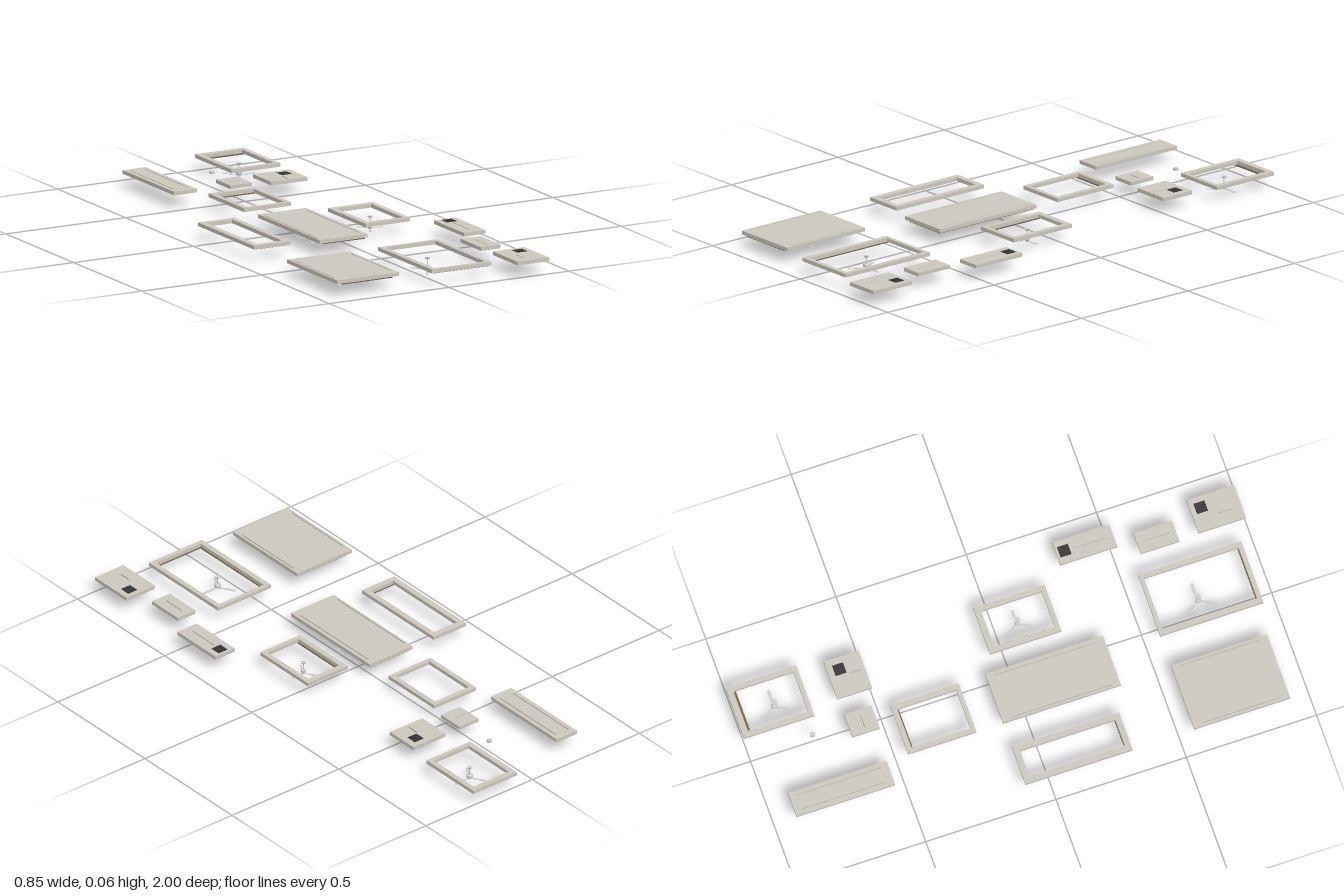
import * as THREE from 'three';

const TOP = 0.063, BOTTOM = 0.049;
const mat = (color) => new THREE.MeshStandardMaterial({ color });
const plaster = mat(0xccc7bd), wood = mat(0x75634c), metal = mat(0xcccccc), dark = mat(0x333333);

function add(parent, name, geometry, material, x = 0, y = 0, z = 0) {
  const mesh = new THREE.Mesh(geometry, material);
  mesh.name = name;
  mesh.position.set(x, y, z);
  parent.add(mesh);
  return mesh;
}

// Box given by its bounds in x, y and z
function block(parent, name, material, x0, x1, y0, y1, z0, z1) {
  return add(parent, name, new THREE.BoxGeometry(x1 - x0, y1 - y0, z1 - z0), material,
    (x0 + x1) / 2, (y0 + y1) / 2, (z0 + z1) / 2);
}

function rect(path, [x0, x1, z0, z1]) {
  return path.moveTo(x0, z0).lineTo(x1, z0).lineTo(x1, z1).lineTo(x0, z1).closePath();
}

// Horizontal plate with rectangular openings
function plate(parent, name, bounds, openings, bottom = BOTTOM) {
  const shape = rect(new THREE.Shape(), bounds);
  for (const o of openings) shape.holes.push(rect(new THREE.Path(), o));
  const g = new THREE.ExtrudeGeometry(shape, { depth: TOP - bottom, bevelEnabled: false });
  g.rotateX(Math.PI / 2);
  return add(parent, name, g, plaster, 0, TOP, 0);
}

// Evenly spaced boards running along z
function boards(parent, name, material, [x0, x1, z0, z1], y0, y1, pitch, fill) {
  const n = Math.round((x1 - x0) / pitch), p = (x1 - x0) / n;
  for (let i = 0; i < n; i++) {
    const c = x0 + (i + 0.5) * p;
    block(parent, name, material, c - p * fill / 2, c + p * fill / 2, y0, y1, z0, z1);
  }
}

// Ceiling fan: canopy, rod, motor and three paddle blades
function fan(parent, x, z, radius, top = BOTTOM) {
  const g = new THREE.Group();
  g.name = 'ceilingFan';
  g.position.set(x, 0, z);
  parent.add(g);
  add(g, 'canopy', new THREE.CylinderGeometry(0.01, 0.007, 0.005, 20), metal, 0, top - 0.0025, 0);
  add(g, 'rod', new THREE.CylinderGeometry(0.002, 0.002, top - 0.02, 10), metal, 0, (top + 0.02) / 2, 0);
  const s = radius / 0.068;
  const profile = [[0, 0.002], [0.006, 0.003], [0.008, 0.008], [0.0115, 0.0095], [0.0115, 0.018], [0.009, 0.021], [0, 0.021]];
  const motor = new THREE.LatheGeometry(profile.map(([r, y]) => new THREE.Vector2(r * Math.min(s, 1), y)), 24);
  add(g, 'motor', motor, new THREE.MeshStandardMaterial({ color: 0xcccccc, flatShading: true }));
  const blade = new THREE.Shape();
  blade.moveTo(0.005, -0.003).lineTo(0.02, -0.003);
  blade.quadraticCurveTo(0.03, -0.007, 0.045, -0.007).lineTo(0.06, -0.006);
  blade.quadraticCurveTo(0.068, -0.006, 0.068, 0);
  blade.quadraticCurveTo(0.068, 0.005, 0.06, 0.005).lineTo(0.02, 0.003).lineTo(0.005, 0.003).closePath();
  const bg = new THREE.ExtrudeGeometry(blade, { depth: 0.0012, bevelEnabled: false, curveSegments: 6 });
  bg.rotateX(Math.PI / 2).scale(s, 1, s);
  for (let i = 0; i < 3; i++) {
    add(g, 'fanBlade', bg, metal, 0, 0.0056, 0).rotation.y = (i * 2 * Math.PI) / 3;
  }
}

export function createModel() {
  const root = new THREE.Group();
  root.name = 'ceilingSet';
  const group = (name) => {
    const g = new THREE.Group();
    g.name = name;
    root.add(g);
    return g;
  };

  // Border frames: outer bounds, inner opening, cove strips (bounds), fan (x, z, radius)
  const frames = [
    { out: [0.073, 0.277, -1, -0.73], in: [0.094, 0.257, -0.978, -0.747], coves: [[0.085, 0.265, -0.985, -0.968]], fan: [0.172, -0.85, 0.068] },
    { out: [-0.178, 0.018, -0.457, -0.195], in: [-0.159, -0.002, -0.438, -0.211], coves: [[-0.17, 0.01, -0.452, -0.432]] },
    { out: [-0.428, -0.277, 0.317 - 0.409, 0.319], in: [-0.405, -0.299, -0.069, 0.297], coves: [[-0.42, -0.285, 0.294, 0.31]] },
    { out: [0.09, 0.277, 0.222 - 0.272, 0.224], in: [0.112, 0.257, -0.027, 0.206], coves: [[0.1, 0.117, -0.035, 0.21]], fan: [0.187, 0.087, 0.055] },
    { out: [-0.045, 0.203, 0.557, 0.953], in: [-0.024, 0.184, 0.573, 0.936],
      coves: [[-0.037, -0.02, 0.565, 0.945], [-0.037, 0.195, 0.932, 0.945]], fan: [0.058, 0.737, 0.07] },
  ];
  for (const f of frames) {
    const g = group('framedCeiling');
    plate(g, 'borderFrame', f.out, [f.in]);
    for (const [x0, x1, z0, z1] of f.coves) block(g, 'coveStrip', wood, x0, x1, BOTTOM - 0.003, BOTTOM, z0, z1);
    if (f.fan) fan(g, ...f.fan, BOTTOM + 0.002);
  }

  // Slatted wooden ceilings with side slits and a fan below
  const slatted = [
    { out: [-0.425, -0.167, 0.557, 0.925], slits: [-0.414, -0.179], slats: [-0.403, -0.189], z: [0.592, 0.89], fan: [-0.31, 0.74, 0.07] },
    { out: [-0.178, 0.022, -0.092, 0.36], slits: [-0.168, 0.005], slats: [-0.16, 0.016], z: [-0.062, 0.328], fan: [-0.077, 0.13, 0.07] },
  ];
  for (const s of slatted) {
    const g = group('slattedCeiling');
    plate(g, 'ceilingPlate', s.out, s.slits.map((x) => [x - 0.002, x + 0.002, ...s.z]));
    boards(g, 'slat', wood, [...s.slats, s.out[2] + 0.005, s.out[3] - 0.005], BOTTOM - 0.005, BOTTOM, 0.0153, 0.7);
    fan(g, ...s.fan, BOTTOM - 0.004);
  }

  // Small plank ceilings: bounds, vent slits and optional square hatch centre
  const panels = [
    { out: [-0.275, -0.18, -0.918, -0.54], slits: [[-0.258, -0.254, -0.893, -0.57], [-0.2, -0.196, -0.893, -0.57]] },
    { out: [-0.05, 0.04, -0.627, -0.522], slits: [[-0.03, 0.018, -0.577, -0.571]] },
    { out: [0.106, 0.257, -0.631, -0.497], slits: [[0.18, 0.186, -0.56, -0.512]], hatch: [0.211, -0.587] },
    { out: [0.332, 0.422, 0.303, 0.522], slits: [[0.374, 0.378, 0.368, 0.492]], hatch: [0.378, 0.334] },
    { out: [0.278, 0.361, 0.594, 0.742], slits: [[0.317, 0.321, 0.625, 0.715]] },
    { out: [0.285, 0.418, 0.818, 1], slits: [[0.33, 0.335, 0.91, 0.958]], hatch: [0.375, 0.857] },
  ];
  for (const p of panels) {
    const g = group('plankCeiling');
    plate(g, 'ceilingPlate', p.out, p.slits, BOTTOM + 0.001);
    boards(g, 'plank', plaster, p.out, BOTTOM, BOTTOM + 0.001, 0.011, 0.9);
    if (p.hatch) {
      const [x, z] = p.hatch, h = 0.021;
      block(g, 'ventHatch', dark, x - h, x + h, BOTTOM - 0.0005, TOP + 0.0005, z - h, z + h);
    }
  }

  // Loose round ceiling fitting
  add(root, 'roundFitting', new THREE.CylinderGeometry(0.01, 0.01, 0.008, 24), metal, 0.007, 0.055, -0.76);
  return root;
}
